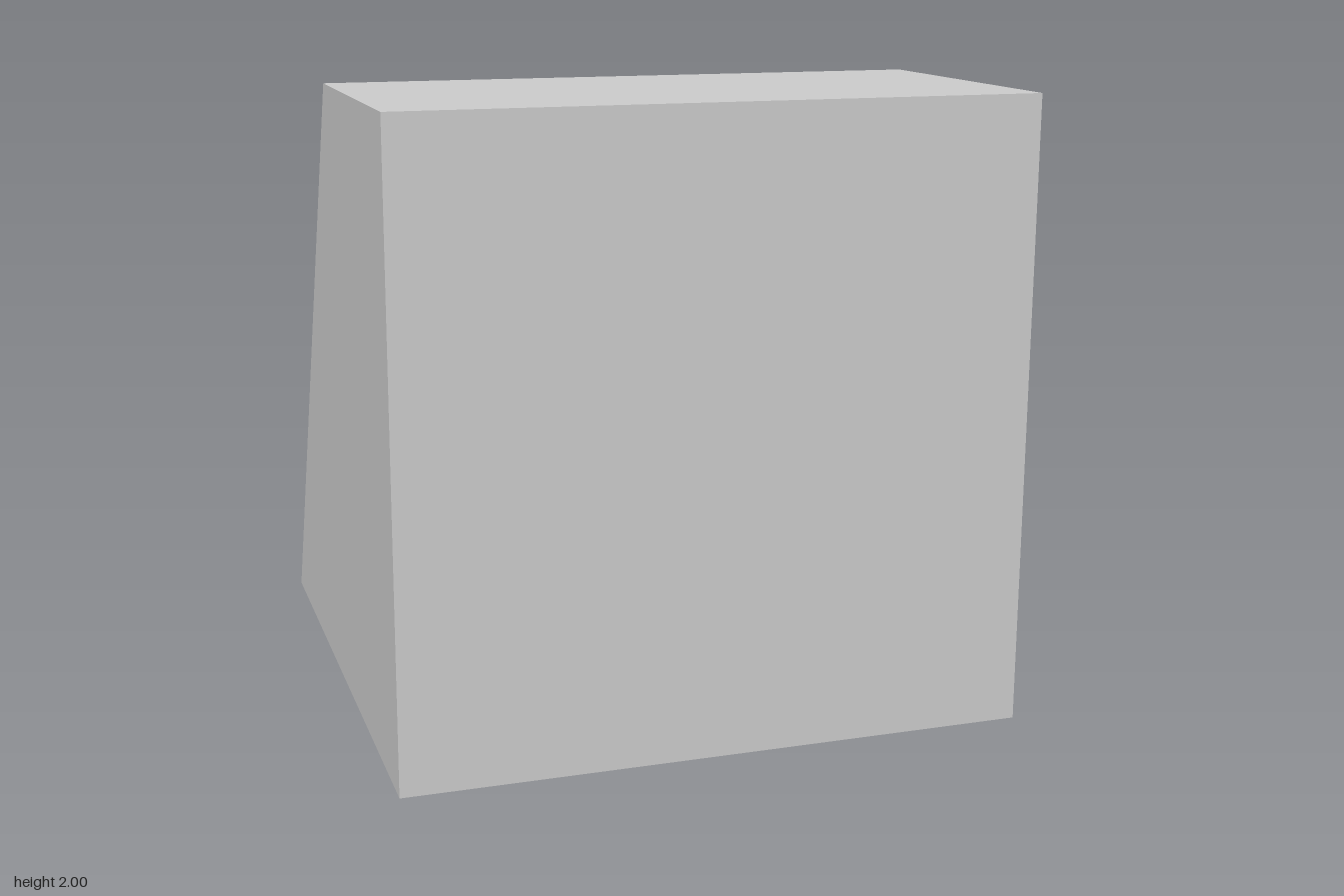
import * as THREE from 'three';

// Depth behind z = 0 of the rock face: rows from the top edge down, columns from x = -1 to x = 1
const DEPTH = [
  [0, 0, 0, 0, 0, 0, 0, 0, 0],
  [.125, .22, .2, .23, .25, .28, .2, .085, .125],
  [.25, .2, .19, .21, .22, .24, .25, .155, .25],
  [.375, .26, .27, .29, .31, .25, .28, .41, .375],
  [.5, .49, .5, .54, .59, .47, .47, .62, .5],
  [.625, .63, .61, .61, .69, .69, .64, .68, .625],
  [.75, .77, .8, .78, .73, .8, .66, .7, .75],
  [.875, .88, .9, .84, .75, .83, .83, .81, .875],
  [1, 1, 1, 1, 1, 1, 1, 1, 1],
];

function makeMesh(name, triangles) {
  const geometry = new THREE.BufferGeometry();
  geometry.setAttribute('position', new THREE.Float32BufferAttribute(triangles.flat(2), 3));
  geometry.computeVertexNormals();
  const material = new THREE.MeshStandardMaterial({ color: 0xcccccc, flatShading: true });
  const mesh = new THREE.Mesh(geometry, material);
  mesh.name = name;
  return mesh;
}

// Two triangles, split along a-c
const quad = (a, b, c, d) => [[a, b, c], [a, c, d]];

function buildRockFace() {
  const point = (col, row) => [-1 + col / 4, 2 - row / 4, -DEPTH[row][col]];
  const triangles = [];
  for (let row = 0; row < 8; row++) {
    for (let col = 0; col < 8; col++) {
      const a = point(col, row), b = point(col + 1, row);
      const c = point(col + 1, row + 1), d = point(col, row + 1);
      // Diagonals run downwards and outwards from the middle
      triangles.push(...(col >= 4 ? quad(a, b, c, d) : quad(b, c, d, a)));
    }
  }
  return makeMesh('rockFace', triangles);
}

function buildBlock() {
  // Side outline: front bottom, back bottom, back top, front top
  const side = (x) => [[x, 0, 1], [x, 0, -1], [x, 2, 0], [x, 2, 1]];
  const [r0, r1, r2, r3] = side(-1);
  const [l0, l1, l2, l3] = side(1);
  return makeMesh('block', [
    ...quad(l0, l1, l2, l3), // +x side
    ...quad(r3, r2, r1, r0), // -x side
    ...quad(r0, l0, l3, r3), // front
    ...quad(r3, l3, l2, r2), // top
    ...quad(r1, l1, l0, r0), // bottom
  ]);
}

export function createModel() {
  const group = new THREE.Group();
  group.name = 'cliffBlock';
  group.add(buildBlock(), buildRockFace());
  return group;
}
